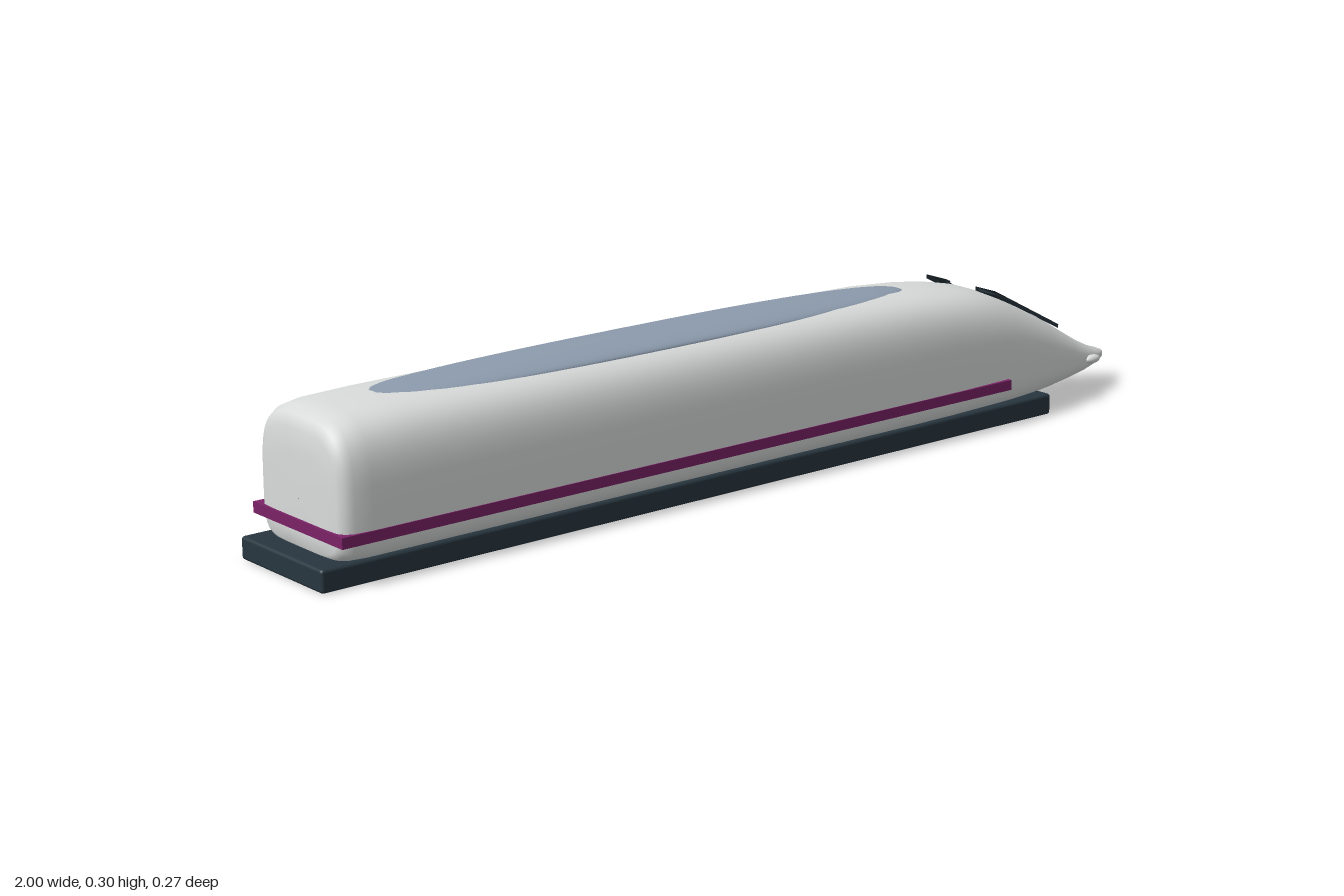
import * as THREE from 'three';
import { RoundedBoxGeometry } from 'three/addons/geometries/RoundedBoxGeometry.js';

const mat = (name, color, side = THREE.FrontSide) => {
  const m = new THREE.MeshStandardMaterial({ color, side });
  m.name = name;
  return m;
};

const spow = (v, p) => Math.sign(v) * Math.abs(v) ** p;

// Closed rings joined along x; each ring is an array of [x, y, z]
function loft(rings) {
  const n = rings[0].length, index = [];
  for (let i = 0; i < rings.length - 1; i++) {
    for (let j = 0; j < n; j++) {
      const k = (j + 1) % n;
      const a = i * n + j, b = a + n, c = (i + 1) * n + k, d = i * n + k;
      index.push(a, b, c, a, c, d);
    }
  }
  const g = new THREE.BufferGeometry();
  g.setAttribute('position', new THREE.Float32BufferAttribute(rings.flat(2), 3));
  g.setIndex(index);
  g.computeVertexNormals();
  return g;
}

// Body section: separate upper and lower superellipse halves meeting at height mid
function bodyRing([x, top, mid, bottom, half, power], sides = 64) {
  return Array.from({ length: sides }, (_, j) => {
    const a = (j / sides) * Math.PI * 2, s = Math.sin(a), c = Math.cos(a);
    const n = s >= 0 ? power : power * 1.4;
    const y = mid + spow(s, 2 / n) * (s >= 0 ? top - mid : mid - bottom);
    return [x, y, spow(c, 2 / n) * half];
  });
}

// x, top, widest height, bottom, half width, squareness
const STATIONS = [
  [-0.96, 0.131, 0.13, 0.129, 0.001, 3.5],
  [-0.96, 0.21, 0.13, 0.07, 0.08, 3.5],
  [-0.958, 0.25, 0.13, 0.045, 0.112, 3.5],
  [-0.95, 0.272, 0.13, 0.036, 0.125, 3.5],
  [-0.935, 0.281, 0.13, 0.032, 0.132, 3.5],
  [-0.9, 0.287, 0.13, 0.03, 0.135, 3.5],
  [-0.8, 0.29, 0.13, 0.03, 0.135, 3.5],
  [0.2, 0.29, 0.13, 0.03, 0.135, 3.5],
  [0.36, 0.287, 0.13, 0.03, 0.135, 3.5],
  [0.46, 0.28, 0.13, 0.03, 0.134, 3.4],
  [0.53, 0.272, 0.128, 0.03, 0.132, 3.2],
  [0.59, 0.26, 0.124, 0.029, 0.129, 3.0],
  [0.64, 0.242, 0.118, 0.028, 0.124, 2.8],
  [0.70, 0.215, 0.108, 0.028, 0.115, 2.6],
  [0.77, 0.18, 0.095, 0.03, 0.1, 2.35],
  [0.84, 0.14, 0.082, 0.034, 0.081, 2.15],
  [0.9, 0.106, 0.07, 0.039, 0.061, 2],
  [0.95, 0.082, 0.065, 0.045, 0.041, 2],
  [0.98, 0.072, 0.062, 0.05, 0.024, 2],
  [0.995, 0.066, 0.06, 0.054, 0.01, 2],
  [1.0, 0.061, 0.06, 0.059, 0.001, 2],
];

// Smooth low dome with a rounded-oblong outline
function roofGeometry() {
  const g = new THREE.SphereGeometry(1, 64, 32);
  const p = g.attributes.position;
  for (let i = 0; i < p.count; i++) {
    const x = p.getX(i), y = p.getY(i), z = p.getZ(i);
    const r = Math.hypot(x, z) || 1, e = 2 / 2.6;
    p.setXYZ(i, spow(x / r, e) * r * 0.645, y * 0.018, spow(z / r, e) * r * 0.08);
  }
  g.computeVertexNormals();
  return g;
}

// One side of the windscreen surround, with a curved inner edge
function windscreenGeometry(side) {
  const rings = [], steps = 32;
  for (let i = 0; i <= steps; i++) {
    const t = i / steps, u = 2 * t - 1;
    const inner = Math.max(0.08 * Math.sqrt(1 - u * u), 0.042 - 0.022 * t);
    const x = 0.59 + 0.18 * t;
    const height = (z) => 0.267 - 0.081 * t - 0.014 * t * (z / 0.097) ** 2;
    const corner = (z, drop) => [x, height(z) - drop, side * z];
    rings.push([corner(inner, 0.008), corner(0.097, 0.008), corner(0.097, 0), corner(inner, 0)]);
  }
  return loft(rings).toNonIndexed();
}

export function createModel() {
  const group = new THREE.Group();
  const white = mat('bodyGrey', 0xdadcdc);
  const slate = mat('roofBlueGrey', 0x8c9bad);
  const dark = mat('darkSlate', 0x28363f, THREE.DoubleSide);
  const plum = mat('plumStripe', 0x7a2266);

  const add = (name, geometry, material, x = 0, y = 0, z = 0) => {
    const mesh = new THREE.Mesh(geometry, material);
    mesh.name = name;
    mesh.position.set(x, y, z);
    group.add(mesh);
    return mesh;
  };

  // Main shell and roof fairing
  add('body', loft(STATIONS.map((s) => bodyRing(s))), white);
  add('roofFairing', roofGeometry(), slate, -0.225, 0.282, 0);

  // Underframe and waistband
  add('underframe', new RoundedBoxGeometry(1.725, 0.042, 0.25, 3, 0.006), dark, -0.1375, 0.021, 0);
  add('stripe', new THREE.BoxGeometry(1.565, 0.02, 0.274), plum, -0.1825, 0.084, 0);

  // Mirrored windscreen surround and headlights
  for (const [label, side] of [['left', -1], ['right', 1]]) {
    const g = windscreenGeometry(side);
    g.computeVertexNormals();
    add(label + 'Windscreen', g, dark);
    const lamp = add(label + 'Headlight', new THREE.SphereGeometry(0.01, 24, 16), white, 0.91, 0.07, side * 0.062);
    lamp.scale.set(2, 0.9, 1);
  }
  return group;
}
